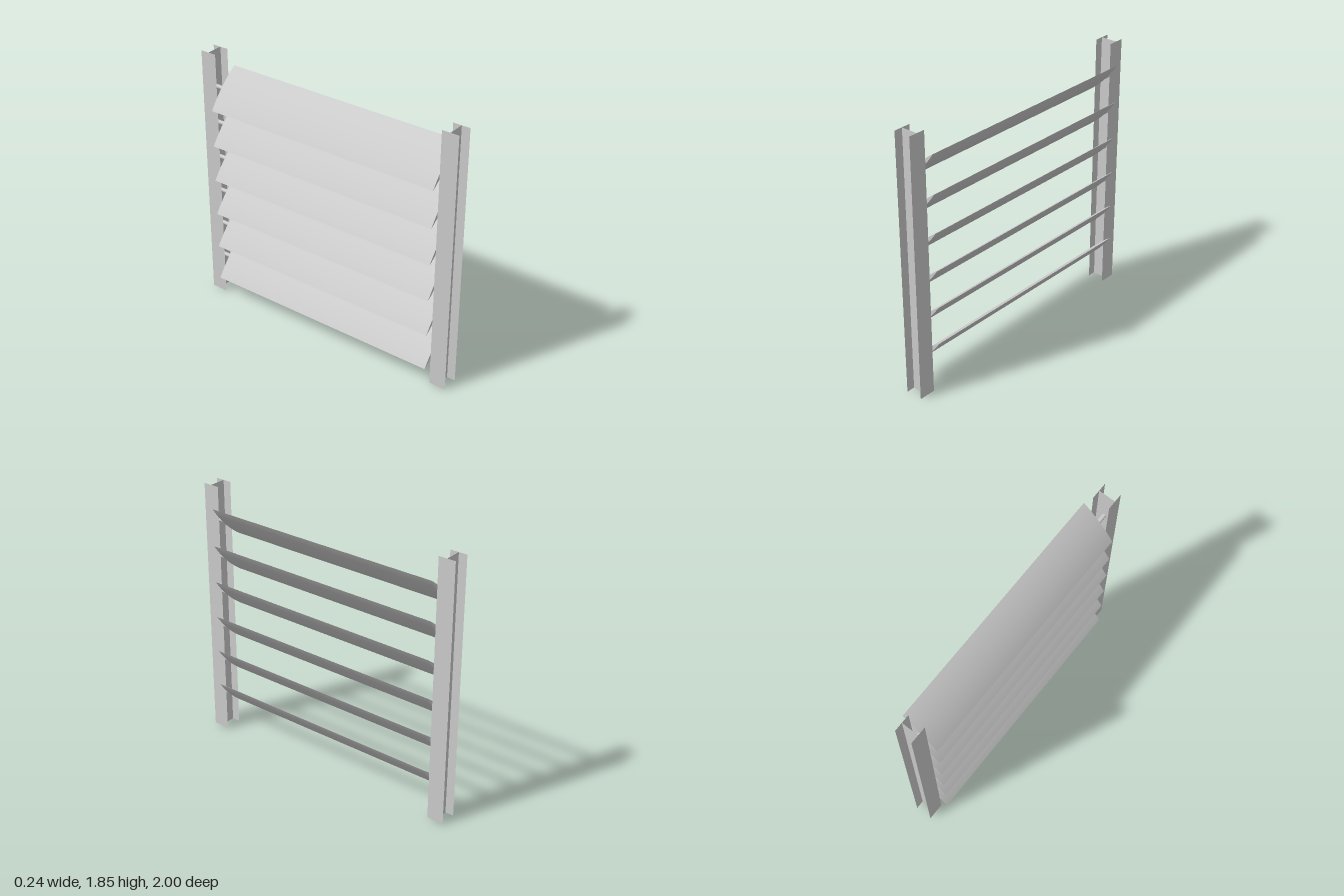
import * as THREE from 'three';
import { toCreasedNormals } from 'three/addons/utils/BufferGeometryUtils.js';

const HEIGHT = 1.85, POST = 0.12, POST_Z = 0.94;
const SLATS = 6, FIRST_Y = 0.267, PITCH = 0.2645;

export function createModel() {
  const model = new THREE.Group();
  model.name = 'louverScreen';
  const grey = new THREE.MeshStandardMaterial({ color: 0xcccccc });
  const sheet = new THREE.MeshStandardMaterial({ color: 0xcccccc, side: THREE.DoubleSide });

  const add = (parent, name, geometry, material, x = 0, y = 0, z = 0) => {
    const mesh = new THREE.Mesh(geometry, material);
    mesh.name = name;
    mesh.position.set(x, y, z);
    parent.add(mesh);
    return mesh;
  };

  // H-section posts made of thin sheets: two flanges joined by a web
  const plate = new THREE.PlaneGeometry(POST, HEIGHT);
  for (const side of [1, -1]) {
    const post = new THREE.Group();
    post.name = side > 0 ? 'frontPost' : 'backPost';
    post.position.set(0, HEIGHT / 2, side * POST_Z);
    add(post, 'web', plate, sheet);
    for (const s of [1, -1]) {
      add(post, 'flange', plate, sheet, s * POST / 2).rotation.y = s * Math.PI / 2;
    }
    model.add(post);
  }

  // Lens-shaped slat section with sharp edges, extruded along z
  const half = 0.1715, bulge = 0.017, length = 1.754;
  const section = new THREE.Shape();
  section.moveTo(-half, 0);
  section.quadraticCurveTo(0, -2 * bulge, half, 0);
  section.quadraticCurveTo(0, 2 * bulge, -half, 0);
  const slatGeometry = toCreasedNormals(
    new THREE.ExtrudeGeometry(section, { depth: length, bevelEnabled: false, curveSegments: 16 })
      .translate(0, 0, -length / 2), 0.3);

  // Short pivot pins from the slat ends to the post webs
  const pinLength = POST_Z - length / 2 + 0.01;
  const pinGeometry = new THREE.CylinderGeometry(0.014, 0.014, pinLength, 16).rotateX(Math.PI / 2);

  // Tilted slats, rising towards +x
  for (let i = 0; i < SLATS; i++) {
    const louver = new THREE.Group();
    louver.name = 'louver';
    louver.position.y = FIRST_Y + i * PITCH;
    louver.rotation.z = Math.atan2(0.245, 0.24);
    add(louver, 'slat', slatGeometry, grey);
    for (const s of [1, -1]) {
      add(louver, 'pivotPin', pinGeometry, grey, 0, 0, s * (POST_Z - pinLength / 2));
    }
    model.add(louver);
  }
  return model;
}
